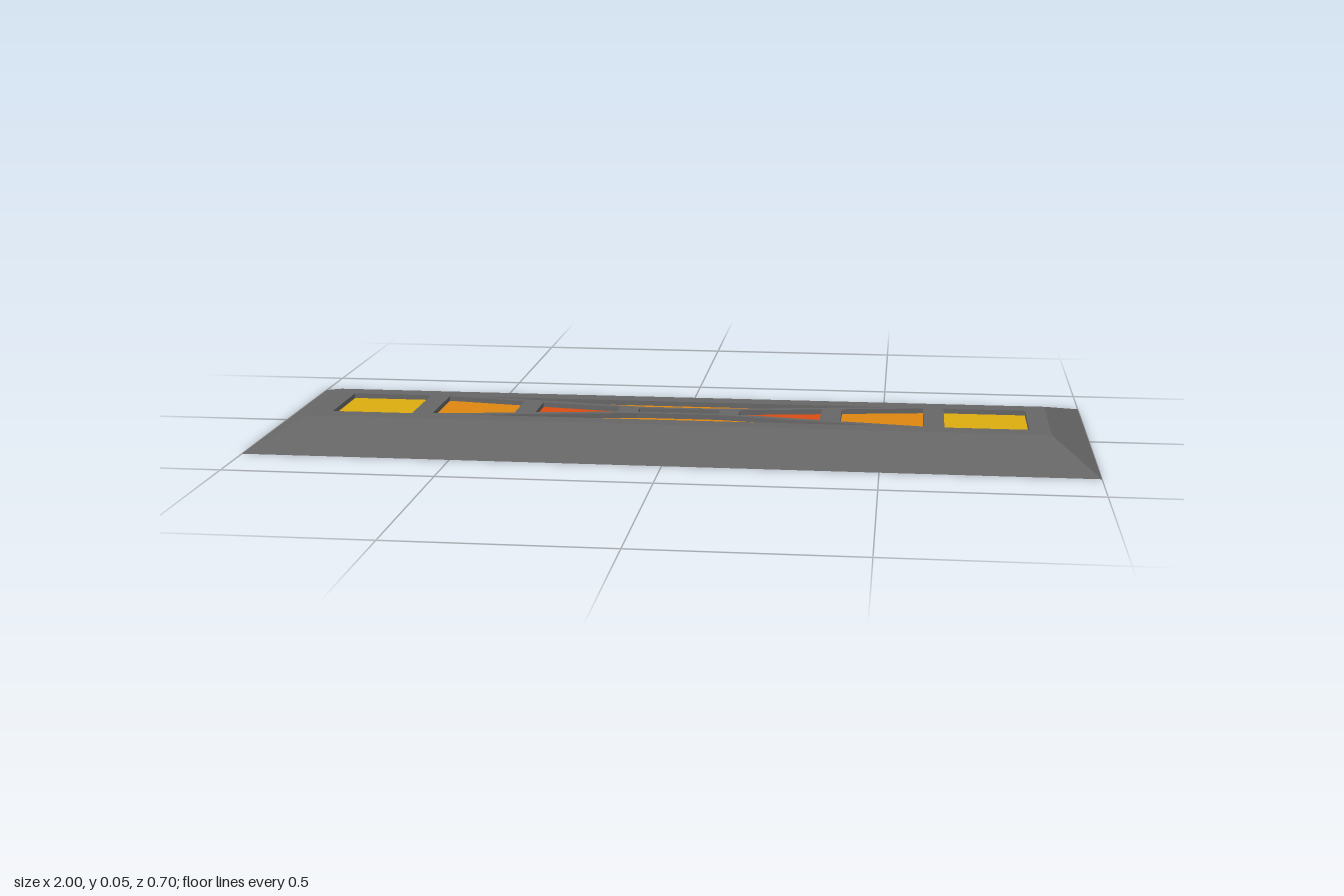
import * as THREE from 'three';

const TOP = 0.05, FLOOR = 0.038;

// Outlines are counter-clockwise seen from above; plan y points to the back (-z).
const rect = (x, y) => [[-x, -y], [x, -y], [x, y], [-x, y]];
const mirrorX = (pts) => pts.map(([x, y]) => [-x, y]).reverse();
const mirrorY = (pts) => pts.map(([x, y]) => [x, -y]).reverse();
const vectors = (pts) => pts.map(([x, y]) => new THREE.Vector2(x, y));

// Flat horizontal face at a height, optionally with holes
function plate(outline, height, holes = []) {
  const shape = new THREE.Shape(vectors(outline));
  shape.holes = holes.map((h) => new THREE.Path(vectors(h)));
  return new THREE.ShapeGeometry(shape).rotateX(-Math.PI / 2).translate(0, height, 0);
}

// Flat-sided band joining a low outline to a high one
function band(low, lowY, high, highY) {
  const pos = [];
  low.forEach((_, i) => {
    const j = (i + 1) % low.length;
    const a = [low[i][0], lowY, -low[i][1]], b = [low[j][0], lowY, -low[j][1]];
    const c = [high[j][0], highY, -high[j][1]], d = [high[i][0], highY, -high[i][1]];
    pos.push(...a, ...b, ...c, ...a, ...c, ...d);
  });
  const geo = new THREE.BufferGeometry();
  geo.setAttribute('position', new THREE.Float32BufferAttribute(pos, 3));
  geo.computeVertexNormals();
  return geo;
}

export function createModel() {
  const model = new THREE.Group();
  model.name = 'lightPlate';
  const paint = (color) => new THREE.MeshStandardMaterial({ color });
  const grey = paint(0x666666);
  const yellow = paint(0xdcac10), orange = paint(0xde8610);
  const red = paint(0xda4c12), crimson = paint(0xcc1044);

  const add = (name, geo, mat, parent = model) => {
    const mesh = new THREE.Mesh(geo, mat);
    mesh.name = name;
    parent.add(mesh);
  };

  // Coloured panel outlines
  const wedge = (x0, x1) => [[x0, -0.16 * x0], [x1, -0.16 * x1], [x1, 0.16 * x1], [x0, 0.16 * x0]];
  const square = [[0.65, -0.1], [0.85, -0.1], [0.85, 0.1], [0.65, 0.1]];
  const strip = [[-0.1, 0.035], [0.1, 0.035], [0.51, 0.1], [-0.51, 0.1]];
  const panels = [{ name: 'centrePanel', outline: rect(0.1, 0.02), mat: crimson }];
  const pair = (name, outline, mat, mirror, sides) => panels.push(
    { name: sides[0] + name, outline, mat },
    { name: sides[1] + name, outline: mirror(outline), mat });
  pair('InnerPanel', wedge(0.15, 0.35), red, mirrorX, ['left', 'right']);
  pair('MiddlePanel', wedge(0.4, 0.6), orange, mirrorX, ['left', 'right']);
  pair('OuterPanel', square, yellow, mirrorX, ['left', 'right']);
  pair('SideStrip', strip, orange, mirrorY, ['back', 'front']);

  // Sloped casing with a pierced deck
  const base = rect(1, 0.35), deck = rect(0.9, 0.15);
  add('slopedSides', band(base, 0, deck, TOP), grey);
  add('deck', plate(deck, TOP, panels.map((p) => p.outline)), grey);
  add('underside', plate(base, 0).rotateX(Math.PI), grey);

  // Recessed panels and the walls around them
  for (const { name, outline, mat } of panels) {
    const group = new THREE.Group();
    group.name = name;
    const inward = [...outline].reverse();
    add('panelFace', plate(outline, FLOOR), mat, group);
    add('recessWall', band(inward, FLOOR, inward, TOP), grey, group);
    model.add(group);
  }
  return model;
}
